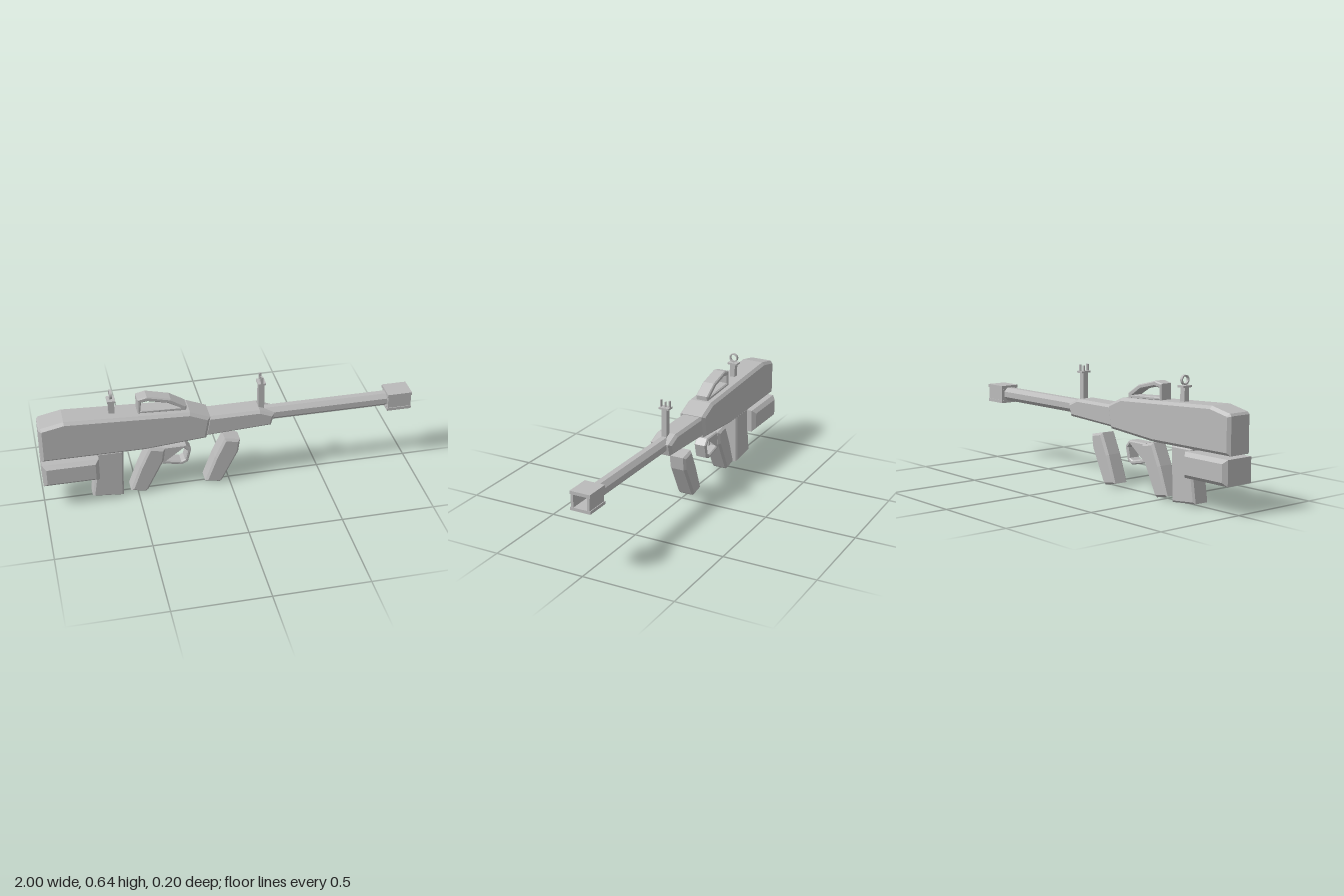
import * as THREE from 'three';

export function createModel() {
  const root = new THREE.Group();
  const grey = new THREE.MeshStandardMaterial({ color: 0xbababa });
  grey.name = 'plain grey';

  function add(name, geometry, parent = root) {
    const mesh = new THREE.Mesh(geometry, grey);
    mesh.name = name;
    parent.add(mesh);
    return mesh;
  }

  const toPoints = (list) => list.map(([x, y]) => new THREE.Vector2(x, y));

  // Side profile extruded across z, with a chamfer that stays inside the outline
  function slab(name, outline, width, bevel, hole) {
    const shape = new THREE.Shape(toPoints(outline));
    if (hole) shape.holes.push(new THREE.Path(toPoints(hole)));
    const geo = new THREE.ExtrudeGeometry(shape, {
      depth: width - 2 * bevel, bevelEnabled: bevel > 0, bevelSegments: 1,
      bevelSize: bevel, bevelThickness: bevel, bevelOffset: -bevel,
    });
    geo.translate(0, 0, -width / 2 + bevel);
    return add(name, geo);
  }

  function block(name, x0, x1, y0, y1, z0, z1, parent = root) {
    const geo = new THREE.BoxGeometry(x1 - x0, y1 - y0, z1 - z0);
    geo.translate((x0 + x1) / 2, (y0 + y1) / 2, (z0 + z1) / 2);
    return add(name, geo, parent);
  }

  // Main body and forend
  slab('receiver', [[-1, 0.295], [-0.46, 0.293], [-0.13, 0.32], [-0.108, 0.445],
    [-0.215, 0.49], [-0.87, 0.522], [-0.99, 0.497], [-1, 0.485]], 0.15, 0.015);
  slab('forend', [[-0.14, 0.325], [0.222, 0.343], [0.24, 0.41], [0.16, 0.442],
    [-0.12, 0.442]], 0.124, 0.014);

  // Shoulder block and magazine
  slab('stockBlock', [[-1, 0.15], [-0.705, 0.15], [-0.705, 0.28], [-1, 0.28]], 0.196, 0.02);
  slab('magazine', [[-0.745, 0.018], [-0.58, 0.002], [-0.57, 0.292], [-0.72, 0.292],
    [-0.725, 0.15]], 0.098, 0.01);

  // Two matching hand grips
  const gripOutline = [[-0.54, 0.022], [-0.46, 0.005], [-0.447, 0.015], [-0.358, 0.19],
    [-0.348, 0.265], [-0.432, 0.282], [-0.485, 0.17]];
  slab('rearGrip', gripOutline, 0.098, 0.012);
  slab('frontGrip', gripOutline, 0.098, 0.012).position.x = 0.405;

  // Trigger guard ring and trigger
  slab('triggerGuard', [[-0.368, 0.165], [-0.26, 0.143], [-0.226, 0.158], [-0.207, 0.235],
    [-0.235, 0.268], [-0.36, 0.268]], 0.07, 0.006,
  [[-0.35, 0.185], [-0.263, 0.166], [-0.243, 0.176], [-0.23, 0.23], [-0.248, 0.249], [-0.35, 0.249]]);
  block('trigger', -0.312, -0.297, 0.2, 0.255, -0.01, 0.01);

  // Carry handle
  slab('carryHandle', [[-0.485, 0.5], [-0.23, 0.485], [-0.228, 0.515], [-0.31, 0.566],
    [-0.435, 0.597], [-0.485, 0.586]], 0.072, 0.006,
  [[-0.468, 0.518], [-0.262, 0.507], [-0.325, 0.544], [-0.43, 0.569], [-0.465, 0.564]]);

  // Octagonal barrel with a round bore
  const ring = [];
  for (let i = 0; i < 8; i++) {
    const a = (i + 0.5) * Math.PI / 4;
    ring.push([Math.cos(a) * 0.04, Math.sin(a) * 0.04]);
  }
  const barrelShape = new THREE.Shape(toPoints(ring));
  const bore = new THREE.Path();
  bore.absarc(0, 0, 0.024, 0, Math.PI * 2, true);
  barrelShape.holes.push(bore);
  const barrelGeo = new THREE.ExtrudeGeometry(barrelShape, { depth: 0.7, bevelEnabled: false, curveSegments: 8 });
  barrelGeo.rotateY(Math.PI / 2);
  barrelGeo.translate(0.18, 0.393, 0);
  add('barrel', barrelGeo);

  // Open box at the end of the barrel
  const muzzle = new THREE.Group();
  muzzle.name = 'muzzleBox';
  root.add(muzzle);
  block('muzzleTop', 0.866, 1, 0.425, 0.442, -0.056, 0.056, muzzle);
  block('muzzleBottom', 0.866, 1, 0.342, 0.358, -0.056, 0.056, muzzle);
  for (const s of [-1, 1]) {
    block('muzzleSide', 0.87, 0.998, 0.356, 0.427, s * 0.045 - 0.007, s * 0.045 + 0.007, muzzle);
  }
  // Back wall around the barrel
  block('muzzleBack', 0.868, 0.876, 0.356, 0.427, -0.04, 0.04, muzzle);

  // Sights: a post and a small shelf each
  function sightBase(name, x, bottom) {
    const group = new THREE.Group();
    group.name = name;
    root.add(group);
    block('sightPost', x - 0.016, x + 0.016, bottom, 0.582, -0.015, 0.015, group);
    block('sightShelf', x - 0.021, x + 0.021, 0.58, 0.59, -0.029, 0.029, group);
    return group;
  }
  const frontSight = sightBase('frontSight', 0.176, 0.42);
  for (const [z, top, half] of [[-0.025, 0.626, 0.004], [0, 0.618, 0.003], [0.025, 0.626, 0.004]]) {
    block('sightProng', 0.169, 0.183, 0.588, top, z - half, z + half, frontSight);
  }
  const rearSight = sightBase('rearSight', -0.617, 0.49);
  const loop = new THREE.Shape();
  loop.absarc(0, 0, 0.025, 0, Math.PI * 2, false);
  const eye = new THREE.Path();
  eye.absarc(0, 0, 0.018, 0, Math.PI * 2, true);
  loop.holes.push(eye);
  const loopGeo = new THREE.ExtrudeGeometry(loop, { depth: 0.014, bevelEnabled: false, curveSegments: 16 });
  loopGeo.rotateY(Math.PI / 2);
  loopGeo.translate(-0.624, 0.617, 0);
  add('sightRing', loopGeo, rearSight);

  return root;
}
